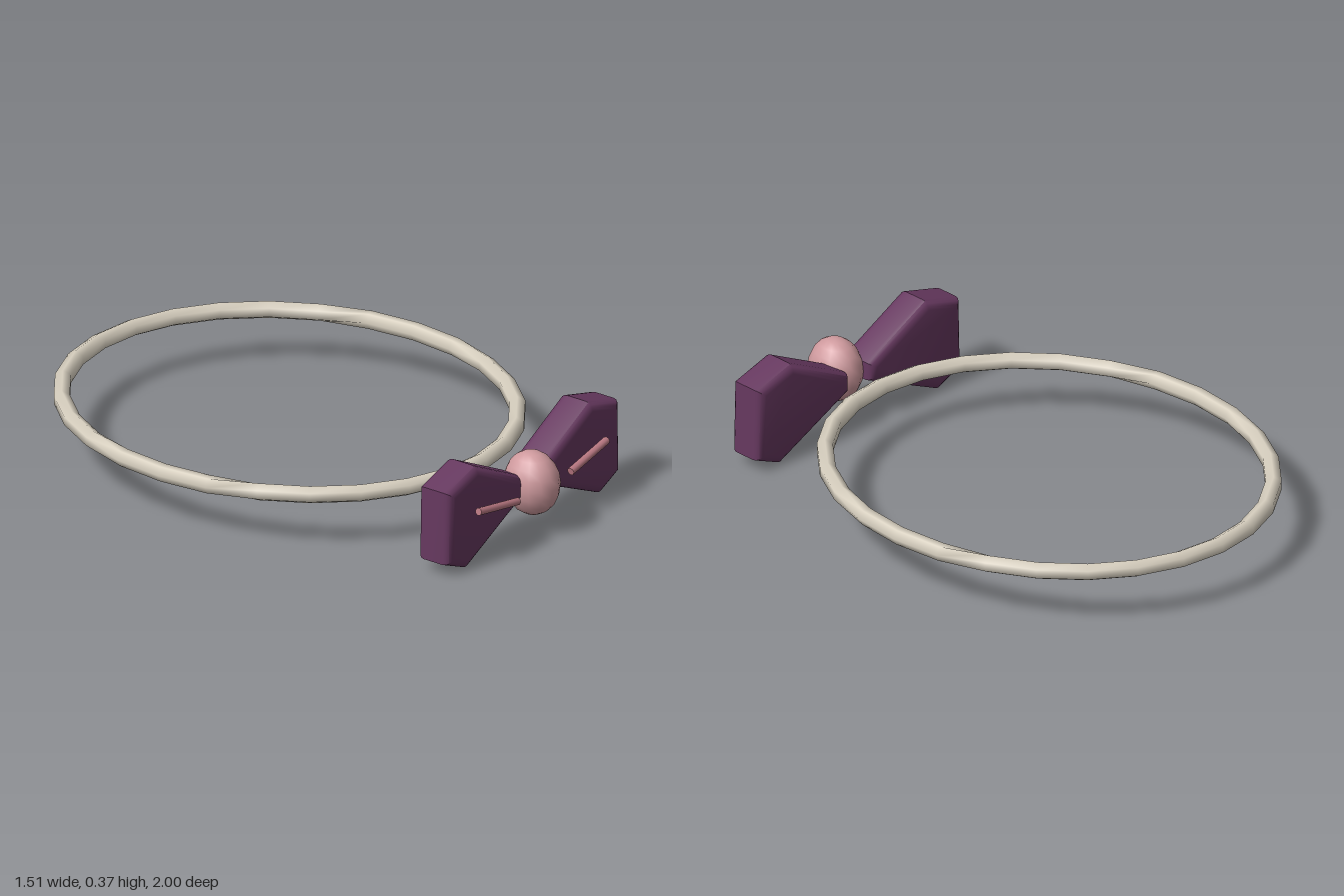
import * as THREE from 'three';
import { toCreasedNormals } from 'three/addons/utils/BufferGeometryUtils.js';

const mat = (color) => new THREE.MeshStandardMaterial({ color });

function add(parent, name, geometry, material) {
  const mesh = new THREE.Mesh(geometry, material);
  mesh.name = name;
  parent.add(mesh);
  return mesh;
}

// Oval band with a six-sided section, turned by half a side at the left and right
function bandGeometry() {
  const sides = 6, steps = 28, r = 0.032;
  const geo = new THREE.TorusGeometry(1, r, sides, steps);
  const pos = geo.attributes.position, nor = geo.attributes.normal;
  for (let j = 0; j <= sides; j++) {
    for (let i = 0; i <= steps; i++) {
      const a = (i / steps) * Math.PI * 2;
      const k = i % (steps / 2);
      const turned = k <= 1 || k === steps / 2 - 1;
      const b = (j / sides) * Math.PI * 2 + (turned ? 0 : Math.PI / 6);
      const out = new THREE.Vector3(Math.cos(a) / 0.725, 0, -Math.sin(a) / 0.822).normalize();
      const n = out.multiplyScalar(Math.cos(b)).setY(Math.sin(b));
      const id = j * (steps + 1) + i;
      pos.setXYZ(id, 0.725 * Math.cos(a) + n.x * r, n.y * r, -0.822 * Math.sin(a) + n.z * r);
      nor.setXYZ(id, n.x, n.y, n.z);
    }
  }
  return geo;
}

// Puffed bow loop; side = 1 or -1
function wingGeometry(side) {
  const outline = [[0.08, 0.178], [0.385, 0.035], [0.465, 0.07], [0.46, 0.298], [0.33, 0.336], [0.08, 0.208]];
  const shape = new THREE.Shape(outline.map(([x, y]) => new THREE.Vector2(x * side, y)));
  const geo = new THREE.ExtrudeGeometry(shape, {
    depth: 0.08, bevelEnabled: true, bevelSize: 0.03, bevelThickness: 0.03, bevelSegments: 4,
  });
  geo.translate(0, 0, 0.8);
  return toCreasedNormals(geo, 0.65);
}

export function createModel() {
  const group = new THREE.Group();
  const cream = mat(0xd8d0c0), plum = mat(0x66385f), pink = mat(0xcf9a9e), rose = mat(0xb97882);

  // Neck band
  add(group, 'band', bandGeometry(), cream).position.set(0, 0.2, -0.15);

  // Bow with knot
  const bow = new THREE.Group();
  bow.name = 'bow';
  group.add(bow);
  const knot = add(bow, 'knot', new THREE.SphereGeometry(1, 14, 10), pink);
  knot.scale.set(0.09, 0.118, 0.105);
  knot.position.set(0, 0.187, 0.895);

  for (const side of [1, -1]) {
    const label = side > 0 ? 'left' : 'right';
    add(bow, label + 'Wing', wingGeometry(side), plum);

    // Crease bar in front of each wing
    const from = new THREE.Vector3(0.152 * side, 0.184, 0.947);
    const to = new THREE.Vector3(0.368 * side, 0.222, 0.94);
    const dir = to.clone().sub(from);
    const bar = add(bow, label + 'Crease', new THREE.CylinderGeometry(0.014, 0.014, dir.length(), 8), rose);
    bar.position.copy(from).add(to).multiplyScalar(0.5);
    bar.quaternion.setFromUnitVectors(new THREE.Vector3(0, 1, 0), dir.normalize());
  }
  return group;
}
